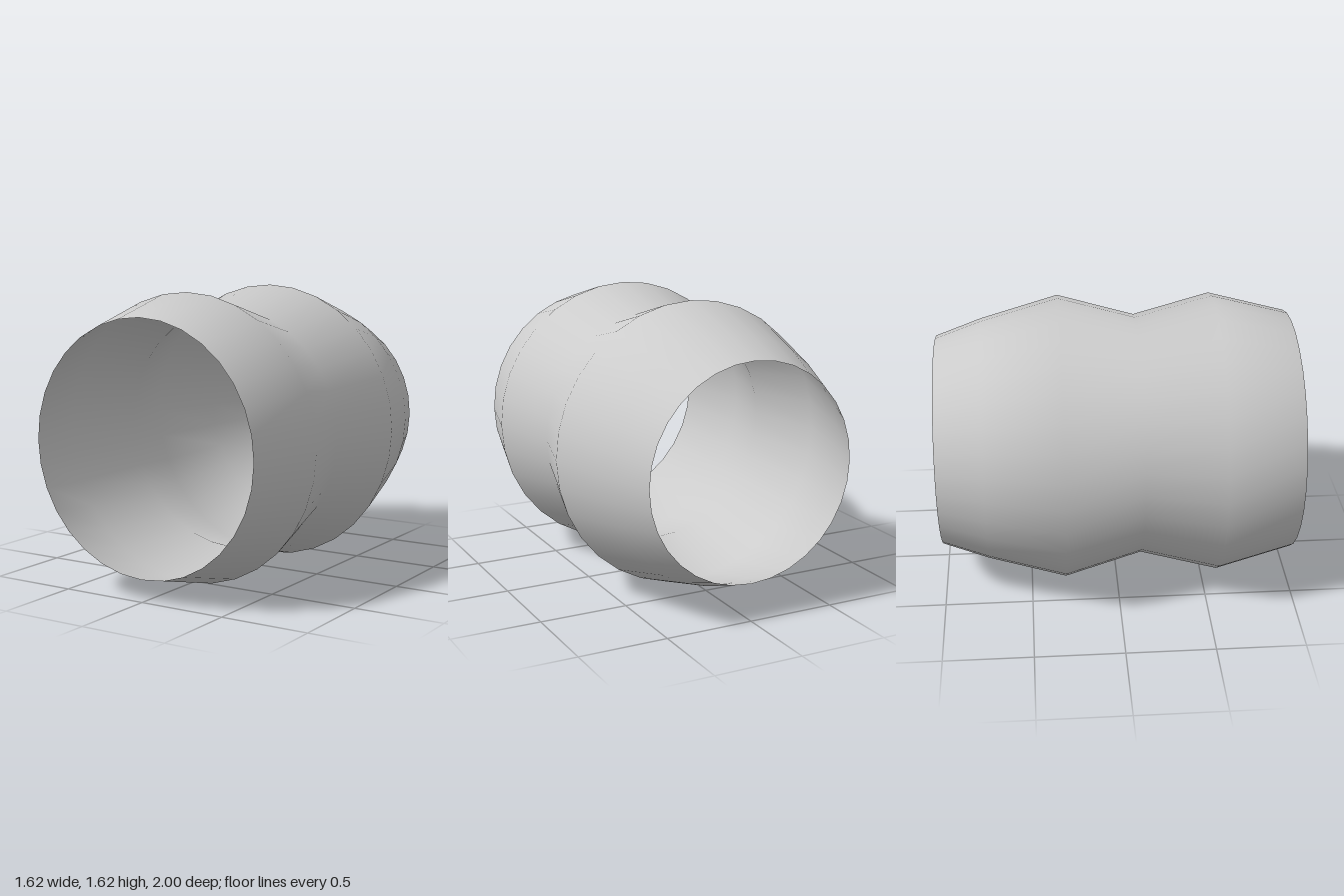
import * as THREE from 'three';

export function createModel() {
  const group = new THREE.Group();
  const radius = 0.812;

  // Profile of the open bulged sleeve: [radius, position along z], back to front
  const profile = [
    [0.6, -1], [0.692, -0.74], [radius, -0.305],
    [0.69, 0.13], [0.802, 0.565], [0.69, 1],
  ].map(([r, z]) => new THREE.Vector2(r, z));

  // Turn the profile, then lay its axis along z
  const geometry = new THREE.LatheGeometry(profile, 32);
  geometry.rotateX(Math.PI / 2);

  const sleeve = new THREE.Mesh(
    geometry,
    new THREE.MeshStandardMaterial({ color: 0xcccccc, side: THREE.DoubleSide })
  );
  sleeve.name = 'bulgedSleeve';
  sleeve.position.y = radius;
  group.add(sleeve);
  return group;
}
